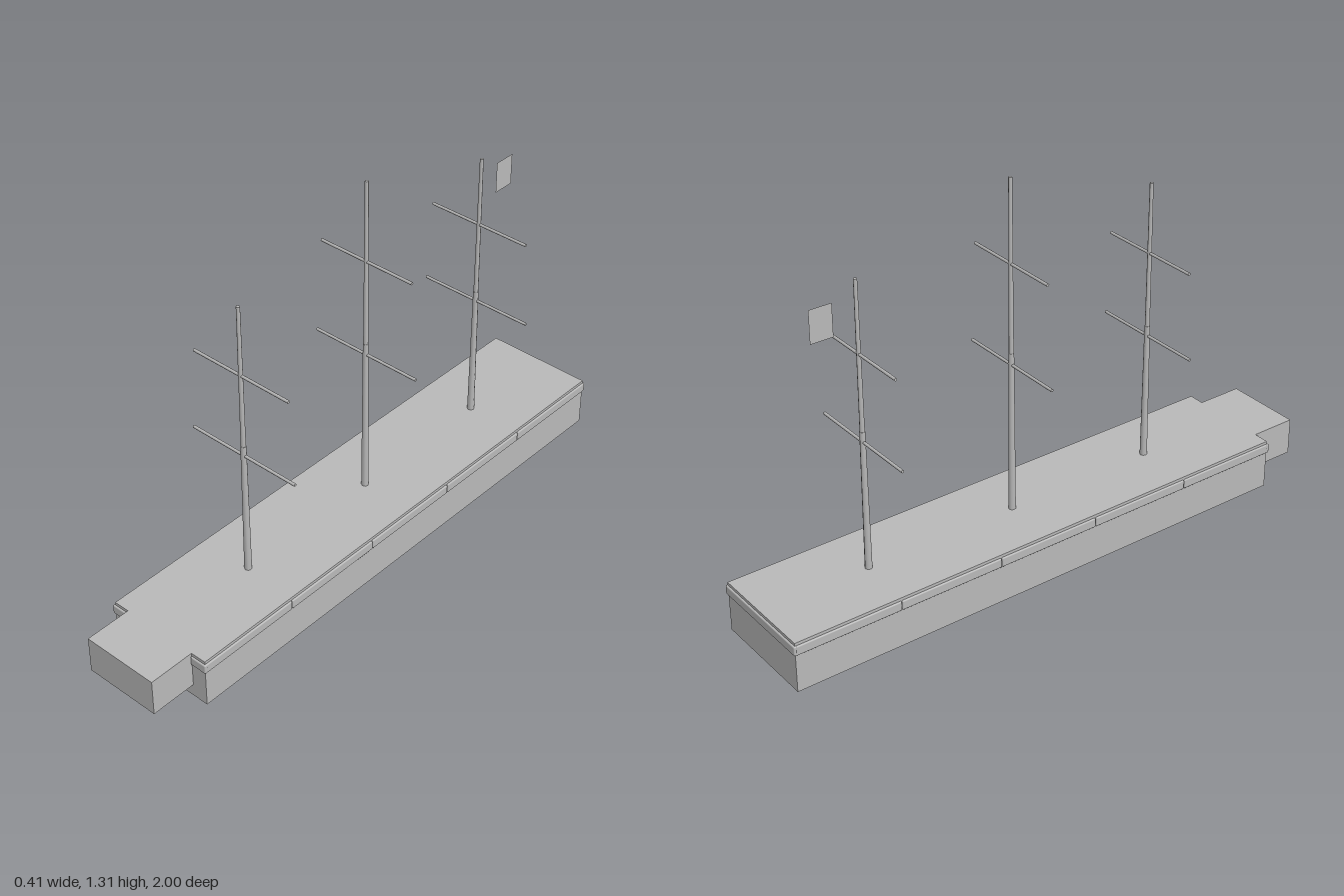
import * as THREE from 'three';
import { RoundedBoxGeometry } from 'three/addons/geometries/RoundedBoxGeometry.js';

export function createModel() {
  const model = new THREE.Group();
  const grey = new THREE.MeshStandardMaterial({ color: 0xb8b8b8 });
  grey.name = 'grey';
  const greySheet = new THREE.MeshStandardMaterial({ color: 0xb8b8b8, side: THREE.DoubleSide });
  greySheet.name = 'greySheet';

  const add = (name, geometry, x, y, z, parent = model, material = grey) => {
    const mesh = new THREE.Mesh(geometry, material);
    mesh.name = name;
    mesh.position.set(x, y, z);
    parent.add(mesh);
    return mesh;
  };
  // box given by its limits
  const box = (name, x0, x1, y0, y1, z0, z1, parent) =>
    add(name, new THREE.BoxGeometry(x1 - x0, y1 - y0, z1 - z0),
      (x0 + x1) / 2, (y0 + y1) / 2, (z0 + z1) / 2, parent);

  const W = 0.19, TOP = 0.173, BACK = -0.994, FRONT = 0.84, T = 0.004;

  // hull: a shell open at the bottom
  const hull = new THREE.Group();
  hull.name = 'hull';
  model.add(hull);
  box('deck', -W, W, TOP - T, TOP, BACK, FRONT, hull);
  for (const s of [-1, 1]) {
    const x = s * (W - T / 2);
    box('sideWall', x - T / 2, x + T / 2, 0, TOP - T, BACK, FRONT, hull);
  }
  box('sternWall', -W + T, W - T, 0, TOP - T, BACK, BACK + T, hull);
  box('bowWall', -W + T, W - T, 0, TOP - T, FRONT - T, FRONT, hull);

  // bow block, also open below
  const bow = new THREE.Group();
  bow.name = 'bow';
  model.add(bow);
  const B = 0.135, LOW = 0.045;
  box('bowDeck', -B, B, TOP - T, TOP, FRONT, 1, bow);
  box('bowFront', -B, B, LOW, TOP - T, 1 - T, 1, bow);
  for (const s of [-1, 1]) {
    const x = s * (B - T / 2);
    box('bowSide', x - T / 2, x + T / 2, LOW, TOP - T, FRONT, 1 - T, bow);
  }

  // rounded belt around the hull, in sections along the sides
  const belt = new THREE.Group();
  belt.name = 'belt';
  model.add(belt);
  const beltY = 0.147, beltH = 0.032, beltT = 0.012, sections = 5;
  const step = (FRONT - BACK) / sections;
  for (const s of [-1, 1]) {
    for (let i = 0; i < sections; i++) {
      add('sideBelt', new RoundedBoxGeometry(beltT, beltH, step - 0.002, 2, 0.004),
        s * W, beltY, BACK + (i + 0.5) * step, belt);
    }
    add('bowBelt', new RoundedBoxGeometry(W - B + 0.006, beltH, beltT, 2, 0.004),
      s * (W + B + 0.006) / 2, beltY, FRONT, belt);
  }
  add('sternBelt', new RoundedBoxGeometry(2 * W + 0.01, beltH, beltT, 2, 0.004), 0, beltY, BACK, belt);

  // paired beams under the deck
  for (let i = 0; i < 7; i++) {
    const z = 0.62 - i * 0.225;
    for (const dz of [-0.022, 0.022]) {
      box('deckBeam', -W + T, W - T, TOP - T - 0.02, TOP - T, z + dz - 0.007, z + dz + 0.007);
    }
  }

  // masts with crossing yards: [height, half length]
  const mast = (name, z, top, joint, yards) => {
    const group = new THREE.Group();
    group.name = name;
    group.position.z = z;
    model.add(group);
    const lower = joint - TOP, upper = top - joint;
    add('lowerMast', new THREE.CylinderGeometry(0.009, 0.012, lower, 8), 0, TOP + lower / 2, 0, group);
    add('upperMast', new THREE.CylinderGeometry(0.006, 0.008, upper, 8), 0, joint + upper / 2, 0, group);
    for (const [y, half] of yards) {
      const yard = add('yard', new THREE.CylinderGeometry(0.005, 0.005, half * 2, 8), 0, y, 0, group);
      yard.rotation.z = Math.PI / 2;
    }
  };
  const outerYards = [[0.615, 0.207], [0.906, 0.188]];
  mast('foreMast', 0.463, 1.145, 0.65, outerYards);
  mast('mainMast', -0.077, 1.308, 0.73, [[0.69, 0.202], [1.03, 0.179]]);
  mast('rearMast', -0.617, 1.145, 0.65, outerYards);

  // flag behind the rear mast
  const flag = add('flag', new THREE.PlaneGeometry(0.077, 0.108), 0, 1.04, -0.735, model, greySheet);
  flag.rotation.y = Math.PI / 2;

  return model;
}
